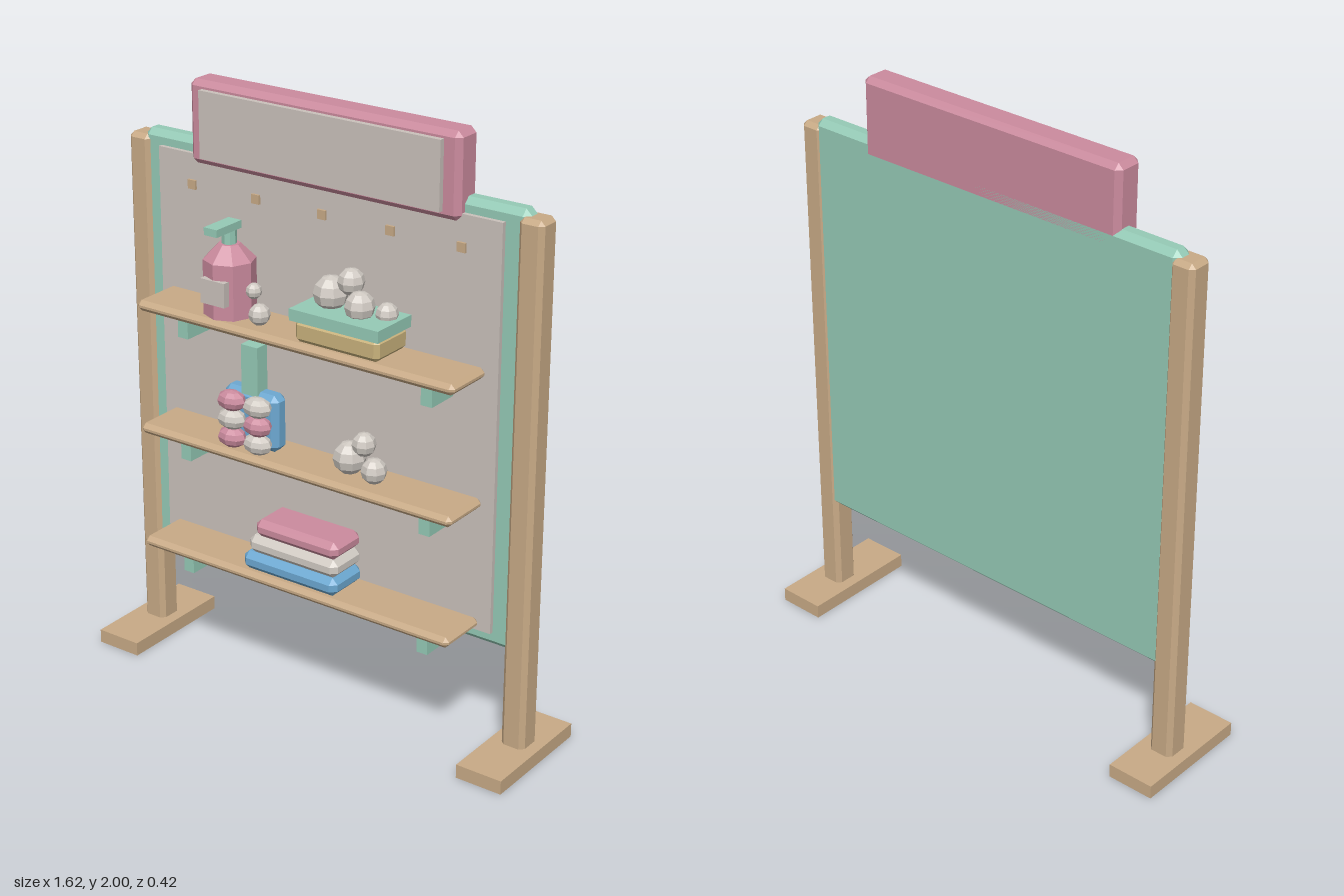
import * as THREE from 'three';
import { ConvexGeometry } from 'three/addons/geometries/ConvexGeometry.js';

const paint = (name, color) => {
  const m = new THREE.MeshStandardMaterial({ color, flatShading: true });
  m.name = name;
  return m;
};

export function createModel() {
  const root = new THREE.Group();
  root.name = 'shopDisplay';
  const wood = paint('wood', 0xc8aa86);
  const mint = paint('mint', 0x95cab6);
  const pink = paint('pink', 0xcb8b9e);
  const blue = paint('blue', 0x6ca8d1);
  const grey = paint('warmGrey', 0xcac1bb);
  const cream = paint('cream', 0xd0cac3);
  const straw = paint('straw', 0xc9b27c);

  const add = (name, geo, mat, parent = root) => {
    const mesh = new THREE.Mesh(geo, mat);
    mesh.name = name;
    parent.add(mesh);
    return mesh;
  };
  const group = (name) => {
    const g = new THREE.Group();
    g.name = name;
    root.add(g);
    return g;
  };

  // Box from its limits; c > 0 cuts every edge by that amount
  const box = (name, mat, [x0, x1], [y0, y1], [z0, z1], c = 0, parent = root) => {
    const size = [x1 - x0, y1 - y0, z1 - z0];
    let geo;
    if (c > 0) {
      const pts = [];
      for (const sx of [-1, 1]) for (const sy of [-1, 1]) for (const sz of [-1, 1])
        for (let full = 0; full < 3; full++) {
          const p = [sx, sy, sz].map((s, i) => s * (size[i] / 2 - (i === full ? 0 : c)));
          pts.push(new THREE.Vector3(...p));
        }
      geo = new ConvexGeometry(pts);
    } else geo = new THREE.BoxGeometry(...size);
    const mesh = add(name, geo, mat, parent);
    mesh.position.set((x0 + x1) / 2, (y0 + y1) / 2, (z0 + z1) / 2);
    return mesh;
  };

  const ball = (name, mat, [x, y, z], r, parent, ry = r, rz = r) => {
    const mesh = add(name, new THREE.SphereGeometry(1, 8, 6), mat, parent);
    mesh.scale.set(r, ry, rz);
    mesh.position.set(x, y, z);
  };

  // Posts and feet
  for (const s of [-1, 1]) {
    const around = (c, w) => [s * c - w / 2, s * c + w / 2];
    box('post', wood, around(0.728, 0.085), [0.03, 1.78], [-0.065, 0.023], 0.015);
    box('foot', wood, around(0.728, 0.163), [0, 0.047], [-0.21, 0.21]);
  }

  // Back board with inset panel
  box('backBoard', mint, [-0.715, 0.715], [0.37, 1.8], [-0.06, 0.01], 0.02);
  box('boardPanel', grey, [-0.64, 0.64], [0.42, 1.755], [-0.01, 0.025]);

  // Header sign
  box('header', pink, [-0.5, 0.5], [1.73, 2], [-0.06, 0.043], 0.018);
  box('headerPanel', grey, [-0.445, 0.445], [1.757, 1.975], [0.02, 0.061]);

  // Pegs
  const pegs = group('pegs');
  for (const y of [1.655, 1.23, 0.822])
    for (let i = -2; i <= 2; i++)
      box('peg', wood, [i * 0.252 - 0.015, i * 0.252 + 0.015], [y - 0.015, y + 0.015], [0, 0.033], 0, pegs);

  // Shelves and brackets
  for (const top of [1.3, 0.875, 0.467]) {
    box('shelf', wood, [-0.6, 0.6], [top - 0.036, top], [0.023, 0.208], 0.014);
    for (const x of [-0.465, 0.465])
      box('bracket', mint, [x - 0.02, x + 0.02], [top - 0.12, top - 0.03], [0.02, 0.14]);
  }

  // Pump bottle
  const bottle = group('bottle');
  const bx = -0.29, bz = 0.115;
  const body = add('bottleBody', new THREE.CylinderGeometry(0.084, 0.084, 0.18, 8), pink, bottle);
  body.position.set(bx, 1.39, bz);
  const shoulder = add('bottleShoulder', new THREE.CylinderGeometry(0.035, 0.084, 0.05, 8), pink, bottle);
  shoulder.position.set(bx, 1.505, bz);
  const neck = add('pumpNeck', new THREE.CylinderGeometry(0.024, 0.024, 0.08, 8), mint, bottle);
  neck.position.set(bx, 1.555, bz);
  box('pumpSpout', mint, [bx - 0.025, bx + 0.025], [1.575, 1.6], [0.085, 0.207], 0, bottle);
  box('bottleLabel', grey, [bx - 0.047, bx + 0.047], [1.35, 1.43], [0.17, 0.204], 0, bottle);

  // Loose balls next to the bottle
  const small = group('smallBalls');
  ball('ball', cream, [-0.196, 1.392, 0.115], 0.026, small);
  ball('ball', cream, [-0.148, 1.336, 0.15], 0.035, small);

  // Tray with bath balls
  const tray = group('tray');
  box('trayBase', straw, [0.018, 0.327], [1.3, 1.372], [0.035, 0.198], 0.014, tray);
  box('trayTop', mint, [0.008, 0.335], [1.37, 1.408], [0.033, 0.207], 0, tray);
  for (const [x, y, z, r] of [[0.093, 1.448, 0.108, 0.056], [0.16, 1.495, 0.097, 0.043],
    [0.212, 1.435, 0.125, 0.048], [0.288, 1.418, 0.092, 0.036]])
    ball('trayBall', cream, [x, y, z], r, tray);

  // Rack with a tall back piece and flattened soaps
  const rack = group('soapRack');
  box('rackBlock', blue, [-0.302, -0.09], [0.875, 1.067], [0.08, 0.15], 0.02, rack);
  box('rackBack', mint, [-0.227, -0.163], [0.9, 1.218], [0.095, 0.145], 0, rack);
  [1.033, 0.97, 0.908].forEach((y, row) => {
    [-0.246, -0.144].forEach((x, col) =>
      ball('soap', (row + col) % 2 ? cream : pink, [x, y, 0.172], 0.052, rack, 0.034, 0.038));
  });

  // Ball pile on the middle shelf
  const pile = group('ballPile');
  for (const [x, y, z, r] of [[0.17, 0.927, 0.115, 0.054], [0.22, 0.982, 0.11, 0.039], [0.272, 0.914, 0.13, 0.042]])
    ball('pileBall', cream, [x, y, z], r, pile);

  // Folded towels
  const towels = group('towels');
  box('towelBottom', blue, [-0.197, 0.172], [0.467, 0.53], [0.04, 0.2], 0.02, towels);
  box('towelMiddle', cream, [-0.175, 0.172], [0.53, 0.592], [0.043, 0.197], 0.02, towels);
  box('towelTop', pink, [-0.15, 0.172], [0.592, 0.652], [0.046, 0.195], 0.02, towels);

  return root;
}
